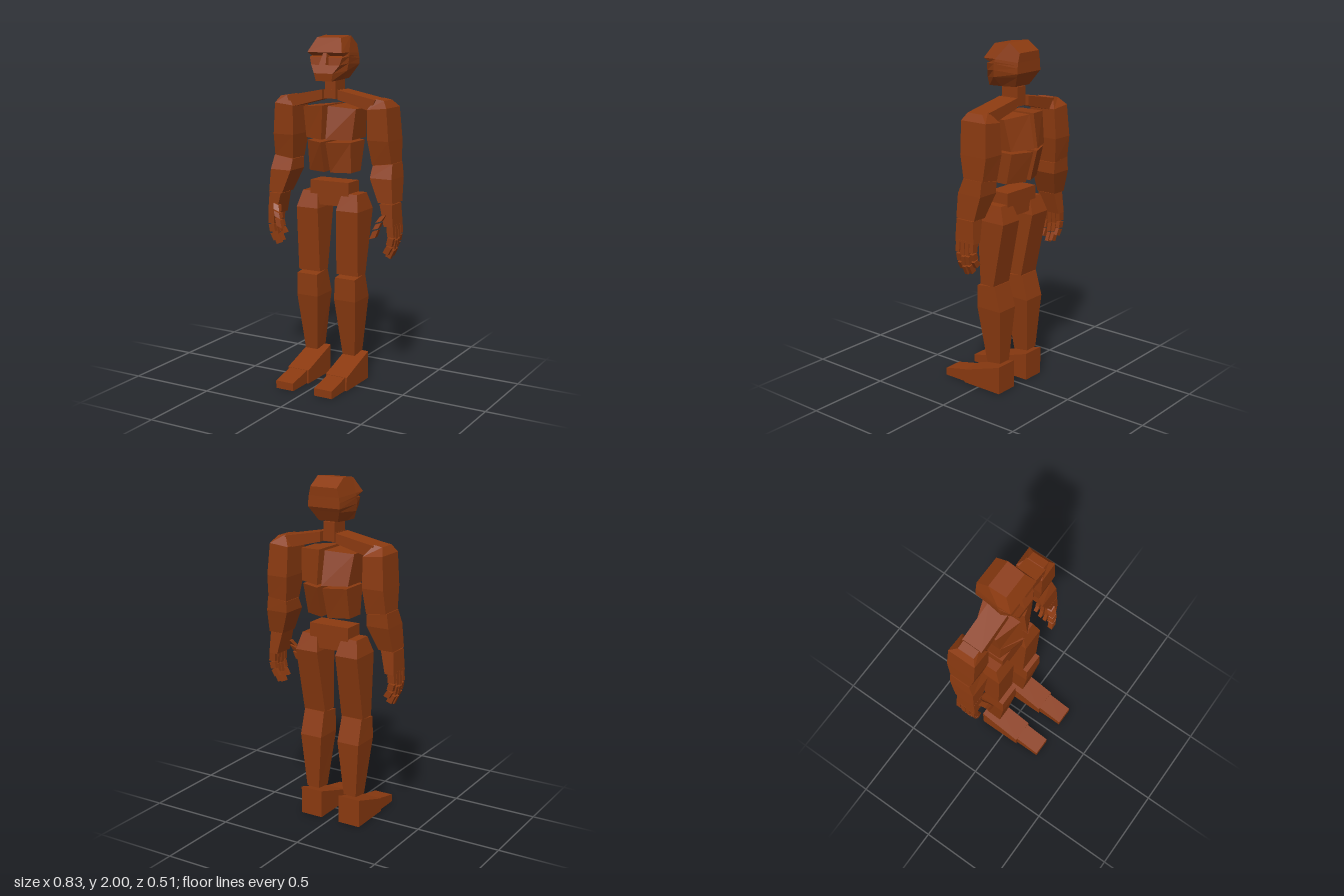
import * as THREE from 'three';

const brown = new THREE.MeshStandardMaterial({ color: 0x8b3a10 });
brown.name = 'brown';

// Faceted solid through rings of points, ordered from bottom to top
function loft(name, rings) {
  const pos = [];
  const tri = (a, b, c) => pos.push(...a, ...b, ...c);
  const n = rings[0].length;
  for (let s = 0; s < rings.length - 1; s++) {
    const a = rings[s], b = rings[s + 1];
    for (let i = 0; i < n; i++) {
      const j = (i + 1) % n;
      tri(a[i], a[j], b[j]);
      tri(a[i], b[j], b[i]);
    }
  }
  const lo = rings[0], hi = rings[rings.length - 1];
  for (let k = 1; k < n - 1; k++) {
    const i = (1 + k) % n, j = (2 + k) % n;
    tri(hi[1], hi[i], hi[j]);
    tri(lo[1], lo[j], lo[i]);
  }
  const g = new THREE.BufferGeometry();
  g.setAttribute('position', new THREE.Float32BufferAttribute(pos, 3));
  g.computeVertexNormals();
  const mesh = new THREE.Mesh(g, brown);
  mesh.name = name;
  return mesh;
}

// Rectangular ring; dOut and dFront raise its outer and front edges
const sec = (y, x0, x1, zb, zf, dOut = 0, dFront = 0) => [
  [x1, y + dOut + dFront, zf], [x1, y + dOut, zb], [x0, y, zb], [x0, y + dFront, zf],
];
// Ring with separate depths on its inner and outer edges
const wedge = (y, xi, xo, zfi, zfo, zbi, zbo) => [
  [xo, y, zfo], [xo, y, zbo], [xi, y, zbi], [xi, y, zfi],
];
// Symmetric six-point ring from front, middle and back points
const hex = (f, m, b) => {
  const mir = ([x, y, z]) => [-x, y, z];
  return [f, m, b, mir(b), mir(m), mir(f)];
};
const flip = (rings) => rings.map((r) => r.map(([x, y, z]) => [-x, y, z]).reverse());

export function createModel() {
  const model = new THREE.Group();
  model.name = 'figure';
  const add = (name, rings) => model.add(loft(name, rings));
  const pair = (name, rings) => {
    add('left ' + name, rings);
    add('right ' + name, flip(rings));
  };

  // Feet
  pair('foot', [sec(0, 0.058, 0.196, -0.155, 0.105), sec(0.165, 0.058, 0.196, -0.155, 0.105, 0, -0.085)]);
  pair('toes', [sec(0, 0.07, 0.184, 0.105, 0.257), sec(0.078, 0.07, 0.184, 0.105, 0.257, 0, -0.033)]);

  // Legs
  pair('shin', [
    sec(0.175, 0.085, 0.165, -0.14, -0.045, 0, -0.013),
    sec(0.5, 0.055, 0.193, -0.16, 0.005),
    sec(0.645, 0.06, 0.19, -0.12, 0.005, 0, -0.015),
  ]);
  pair('thigh', [
    sec(0.645, 0.055, 0.195, -0.115, -0.022),
    sec(1.02, 0.06, 0.2, -0.19, -0.005),
    sec(1.115, 0.08, 0.178, -0.155, -0.04),
  ]);

  // Torso
  add('pelvis', [sec(1.04, -0.125, 0.125, -0.16, -0.035), sec(1.18, -0.125, 0.125, -0.16, -0.035)]);
  pair('abdomen', [
    wedge(1.235, 0.02, 0.135, -0.01, -0.045, -0.205, -0.16),
    wedge(1.41, 0.017, 0.14, 0.038, -0.03, -0.252, -0.2),
  ]);
  pair('chest', [
    wedge(1.425, 0.014, 0.148, 0.034, -0.03, -0.257, -0.2),
    wedge(1.615, 0.018, 0.17, 0.013, -0.035, -0.225, -0.17).map(([x, y, z]) => [x, x > 0.1 ? 1.6 : y, z]),
  ]);
  pair('collar', [
    sec(1.645, 0.05, 0.26, -0.165, -0.042, -0.055),
    sec(1.7, 0.05, 0.285, -0.165, -0.042, -0.045),
  ]);
  add('lower neck', [sec(1.65, -0.037, 0.037, -0.155, -0.042), sec(1.7, -0.037, 0.037, -0.155, -0.042)]);
  add('upper neck', [sec(1.7, -0.035, 0.035, -0.155, -0.045), sec(1.757, -0.035, 0.035, -0.155, -0.045)]);

  // Arms
  pair('upper arm', [
    sec(1.288, 0.26, 0.38, -0.195, -0.062, 0.015),
    sec(1.43, 0.242, 0.373, -0.212, -0.035),
    sec(1.6, 0.24, 0.36, -0.2, -0.032, 0.012),
    sec(1.66, 0.285, 0.333, -0.155, -0.055, -0.008),
  ]);
  pair('forearm', [
    sec(1.085, 0.315, 0.405, -0.155, -0.03),
    sec(1.22, 0.26, 0.395, -0.19, -0.035),
    sec(1.285, 0.262, 0.385, -0.192, -0.065, 0.018),
  ]);
  pair('palm', [sec(0.955, 0.355, 0.41, -0.155, -0.025), sec(1.08, 0.325, 0.403, -0.145, -0.03)]);

  // Fingers: three short blocks each, curling inward
  [[-0.043, 0.86], [-0.076, 1], [-0.108, 0.95], [-0.14, 0.74]].forEach(([z, len], f) => {
    const joints = [[0.39, 0.965], [0.394, 0.88], [0.385, 0.825], [0.362, 0.772]];
    for (let i = 0; i < 3; i++) {
      const [xa, ya] = joints[i], [xb, yb] = joints[i + 1];
      const y = (v) => 0.965 - (0.965 - v) * len;
      const w = 0.02 - i * 0.002, d = 0.013 - i * 0.001;
      pair(`finger ${f + 1} joint ${i + 1}`, [
        sec(y(yb) + 0.004, xb - w, xb + w, z - d, z + d, -0.006 * i),
        sec(y(ya), xa - w, xa + w, z - d, z + d, -0.006 * i),
      ]);
    }
  });

  // Thumbs
  const thumb = [[0.352, 1.015, -0.035], [0.335, 0.972, -0.012], [0.322, 0.932, -0.002], [0.306, 0.878, 0.004]];
  for (let i = 0; i < 3; i++) {
    const [xa, ya, za] = thumb[i], [xb, yb, zb] = thumb[i + 1];
    pair(`thumb joint ${i + 1}`, [
      sec(yb + 0.006, xb - 0.018, xb + 0.018, zb - 0.015, zb + 0.015, 0.012),
      sec(ya - 0.004, xa - 0.018, xa + 0.018, za - 0.015, za + 0.015, 0.012),
    ]);
  }

  // Head with brow overhang and eye recess
  add('head', [
    hex([0.05, 1.752, 0.03], [0.065, 1.758, -0.07], [0.06, 1.762, -0.16]),
    hex([0.06, 1.795, 0.034], [0.108, 1.81, -0.045], [0.09, 1.82, -0.193]),
    hex([0.09, 1.84, 0.012], [0.114, 1.85, -0.05], [0.1, 1.84, -0.205]),
    hex([0.103, 1.882, 0.004], [0.115, 1.885, -0.055], [0.099, 1.87, -0.205]),
    hex([0.103, 1.89, -0.018], [0.115, 1.895, -0.06], [0.097, 1.885, -0.205]),
    hex([0.11, 1.91, 0.02], [0.113, 1.91, -0.06], [0.095, 1.9, -0.205]),
    hex([0.077, 1.99, -0.03], [0.082, 2, -0.135], [0.083, 1.95, -0.207]),
  ]);
  add('nose', [sec(1.842, -0.022, 0.022, -0.01, 0.045), sec(1.908, -0.011, 0.011, -0.02, 0.014)]);

  return model;
}
